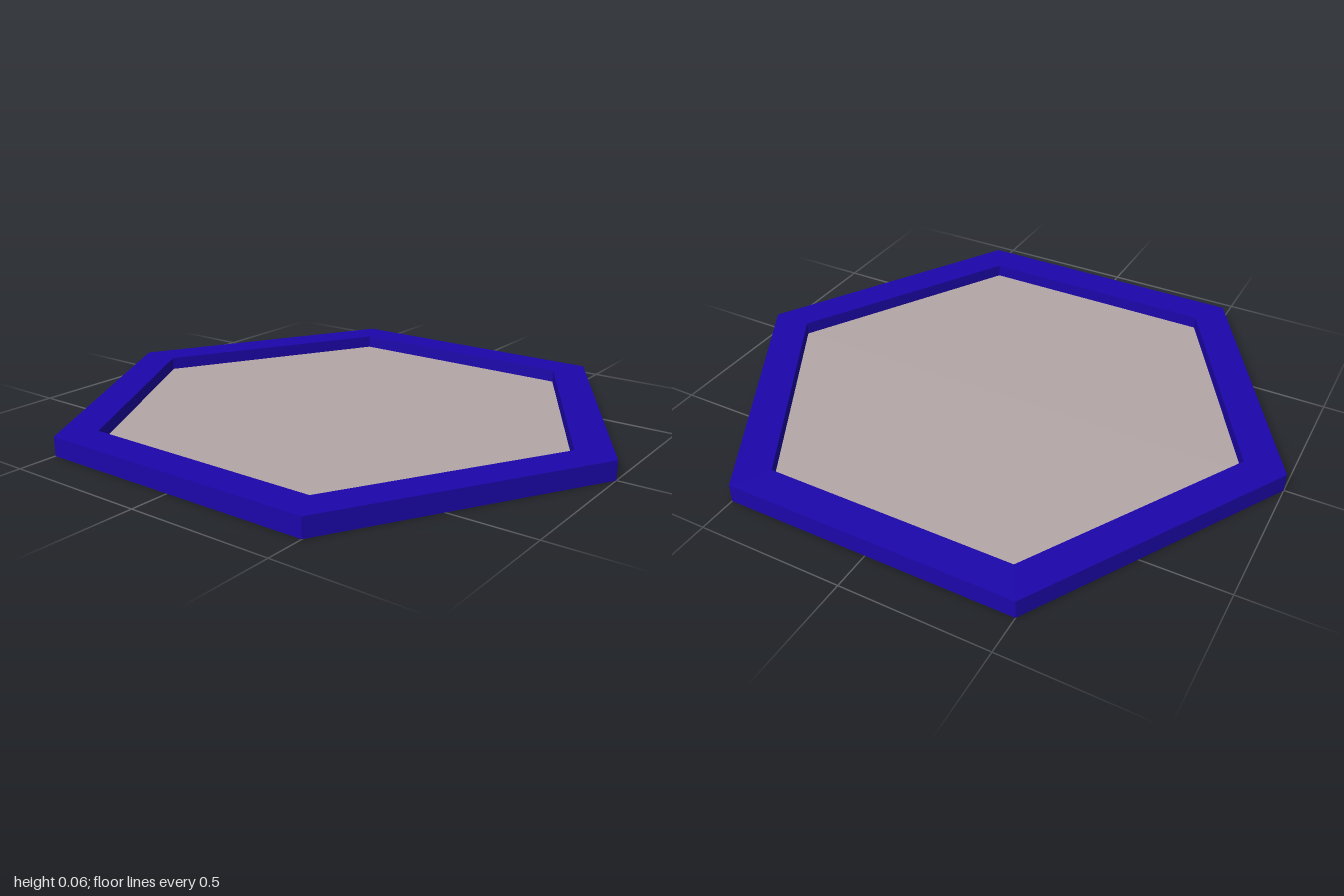
import * as THREE from 'three';

const HEIGHT = 0.065, FLOOR_Y = 0.02, INNER = 0.861, SIDES = 6, RINGS = 3;

export function createModel() {
  const model = new THREE.Group();
  model.name = 'hexagonalTray';

  const add = (parent, name, geometry, material) => {
    const mesh = new THREE.Mesh(geometry, material);
    mesh.name = name;
    parent.add(mesh);
    return mesh;
  };
  const corner = (r, k) => {
    const a = (k * Math.PI * 2) / SIDES;
    return new THREE.Vector2(r * Math.cos(a), r * Math.sin(a));
  };

  // Raised rim: outer wall, flat top and inner wall, corners on the x axis
  const blue = new THREE.MeshStandardMaterial({ color: 0x1c06ac, flatShading: true });
  const profile = [[1, 0], [1, HEIGHT], [INNER, HEIGHT], [INNER, FLOOR_Y]]
    .map(([r, y]) => new THREE.Vector2(r, y));
  add(model, 'rim', new THREE.LatheGeometry(profile, SIDES, Math.PI / 2), blue);

  // Sunken floor
  const floor = new THREE.CircleGeometry(INNER, SIDES).rotateX(-Math.PI / 2);
  add(model, 'floor', floor, new THREE.MeshStandardMaterial({ color: 0xb5a7a7 }))
    .position.y = FLOOR_Y;

  // Underside: three rings of alternating straight-edged panels, open sheets
  const red = new THREE.MeshStandardMaterial({ color: 0xe00404, side: THREE.DoubleSide });
  const grey = new THREE.MeshStandardMaterial({ color: 0xcccccc, side: THREE.DoubleSide });
  const underside = new THREE.Group();
  underside.name = 'underside';
  model.add(underside);
  for (let ring = 0; ring < RINGS; ring++) {
    const r0 = ring / RINGS, r1 = (ring + 1) / RINGS;
    for (let k = 0; k < SIDES; k++) {
      const points = [corner(r0, k), corner(r1, k), corner(r1, k + 1)];
      if (ring > 0) points.push(corner(r0, k + 1));
      const panel = new THREE.ShapeGeometry(new THREE.Shape(points)).rotateX(Math.PI / 2);
      const isRed = (ring + k) % 2 === 0;
      add(underside, isRed ? 'redPanel' : 'greyPanel', panel, isRed ? red : grey);
    }
  }

  return model;
}
